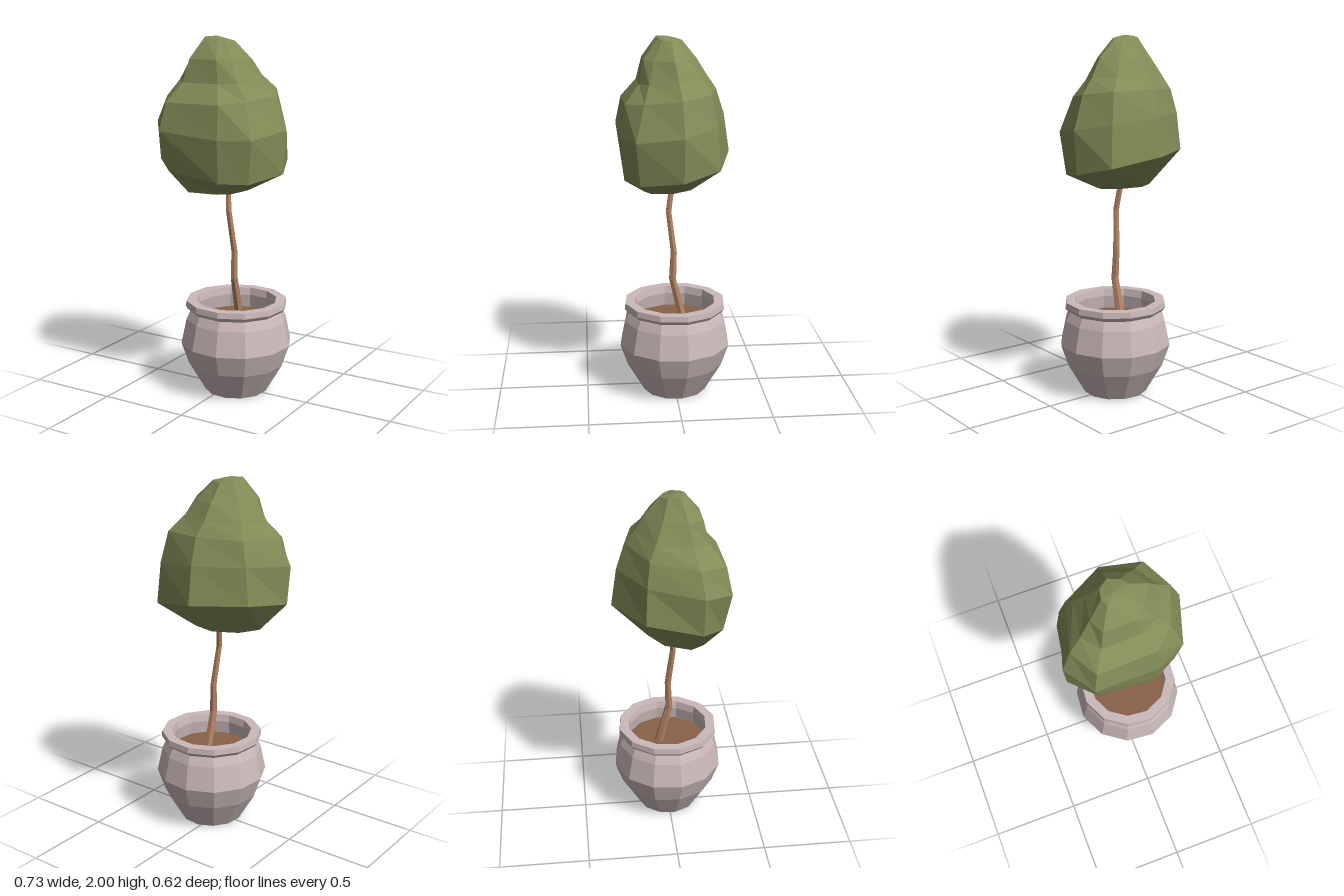
import * as THREE from 'three';

const material = (name, color) => {
  const m = new THREE.MeshStandardMaterial({ color });
  m.name = name;
  return m;
};

// Faceted normals
function faceted(geometry) {
  const g = geometry.index ? geometry.toNonIndexed() : geometry;
  g.computeVertexNormals();
  return g;
}

// Joins rings of points (bottom to top, clockwise from above) and closes both ends
function loft(rings, bottom, top) {
  const n = rings[0].length;
  const points = [...rings.flat(), bottom, top];
  const index = [];
  const low = points.length - 2, high = points.length - 1;
  const last = (rings.length - 1) * n;
  for (let i = 0; i < n; i++) {
    const j = (i + 1) % n;
    for (let r = 0; r < last; r += n) {
      const a = r + i, b = r + j, c = b + n, d = a + n;
      index.push(a, d, c, a, c, b);
    }
    index.push(i, j, low, last + j, last + i, high);
  }
  const g = new THREE.BufferGeometry().setFromPoints(points);
  g.setIndex(index);
  return faceted(g);
}

export function createModel() {
  const potMat = material('pale clay', 0xcbb9b9);
  const soilMat = material('soil', 0x8a6148);
  const barkMat = material('bark', 0xb48264);
  const leafMat = material('leaf green', 0x848d58);

  const model = new THREE.Group();
  model.name = 'pottedTree';
  const add = (name, geometry, mat) => {
    const mesh = new THREE.Mesh(geometry, mat);
    mesh.name = name;
    model.add(mesh);
    return mesh;
  };

  // Pot: twelve-sided bellied vessel with a rim and inner wall
  const profile = [
    [0, 0], [0.178, 0], [0.274, 0.165], [0.315, 0.285], [0.285, 0.425], [0.262, 0.475],
    [0.274, 0.482], [0.288, 0.5], [0.284, 0.532], [0.23, 0.532], [0.222, 0.49], [0.235, 0.39],
  ].map(([r, y]) => new THREE.Vector2(r, y));
  add('pot', faceted(new THREE.LatheGeometry(profile, 12, 0.168)), potMat).position.x = 0.05;

  // Soil disc inside the pot
  const soil = new THREE.CircleGeometry(0.24, 12).rotateX(-Math.PI / 2);
  add('soil', soil, soilMat).position.set(0.05, 0.415, 0);

  // Trunk: crooked and tapered, as [x, y, z, radius]
  const trunkRings = [
    [0.045, 0.38, -0.055, 0.028], [0.042, 0.53, -0.02, 0.025], [0.042, 0.65, 0.01, 0.022],
    [0.038, 0.81, 0.003, 0.019], [0.018, 1.04, 0.03, 0.017], [-0.002, 1.22, 0.005, 0.016],
  ].map(([x, y, z, r]) => Array.from({ length: 6 }, (_, i) => {
    const a = (i / 6) * Math.PI * 2;
    return new THREE.Vector3(x + r * Math.cos(a), y, z + r * Math.sin(a));
  }));
  add('trunk', loft(trunkRings, new THREE.Vector3(0.045, 0.38, -0.055),
    new THREE.Vector3(-0.002, 1.22, 0.005)), barkMat);

  // Foliage: eight corners, scaled around a centre on each tilted level
  const corners = [
    [-0.035, -0.31], [0.245, -0.23], [0.342, -0.03], [0.265, 0.22],
    [0.105, 0.3], [-0.25, 0.31], [-0.365, 0.155], [-0.3, -0.145],
  ];
  const levels = [
    { y: 1.17, tilt: [0, -0.08], c: [-0.03, 0.03], s: [0.48, 0.5, 0.48, 0.45, 0.45, 0.48, 0.48, 0.45] },
    { y: 1.305, tilt: [-0.13, -0.19], c: [0, 0], s: [1, 1, 0.95, 0.9, 0.92, 0.87, 0.96, 1] },
    { y: 1.53, tilt: [-0.08, -0.16], c: [0, 0], s: [0.9, 0.93, 1, 1, 1, 1, 1, 0.93] },
    { y: 1.69, tilt: [0, -0.13], c: [0, 0], s: [0.75, 0.8, 0.82, 0.78, 0.9, 0.9, 0.86, 0.82] },
    { y: 1.775, tilt: [0, -0.1], c: [-0.02, 0.01], s: [0.62, 0.62, 0.68, 0.6, 0.6, 0.6, 0.62, 0.64] },
    { y: 1.88, tilt: [0, 0], c: [-0.03, 0.02], s: [0.48, 0.46, 0.52, 0.42, 0.48, 0.47, 0.43, 0.44] },
    { y: 1.978, tilt: [-0.1, 0.1], c: [-0.04, 0.02], s: [0.22, 0.2, 0.25, 0.2, 0.2, 0.22, 0.2, 0.2] },
  ];
  const leafRings = levels.map(({ y, tilt, c, s }) => corners.map(([px, pz], i) => {
    const x = c[0] + px * s[i], z = c[1] + pz * s[i];
    return new THREE.Vector3(x, y + tilt[0] * x + tilt[1] * z, z);
  }));
  add('foliage', loft(leafRings, new THREE.Vector3(-0.03, 1.165, 0.03),
    new THREE.Vector3(-0.05, 2, 0.04)), leafMat);

  return model;
}
